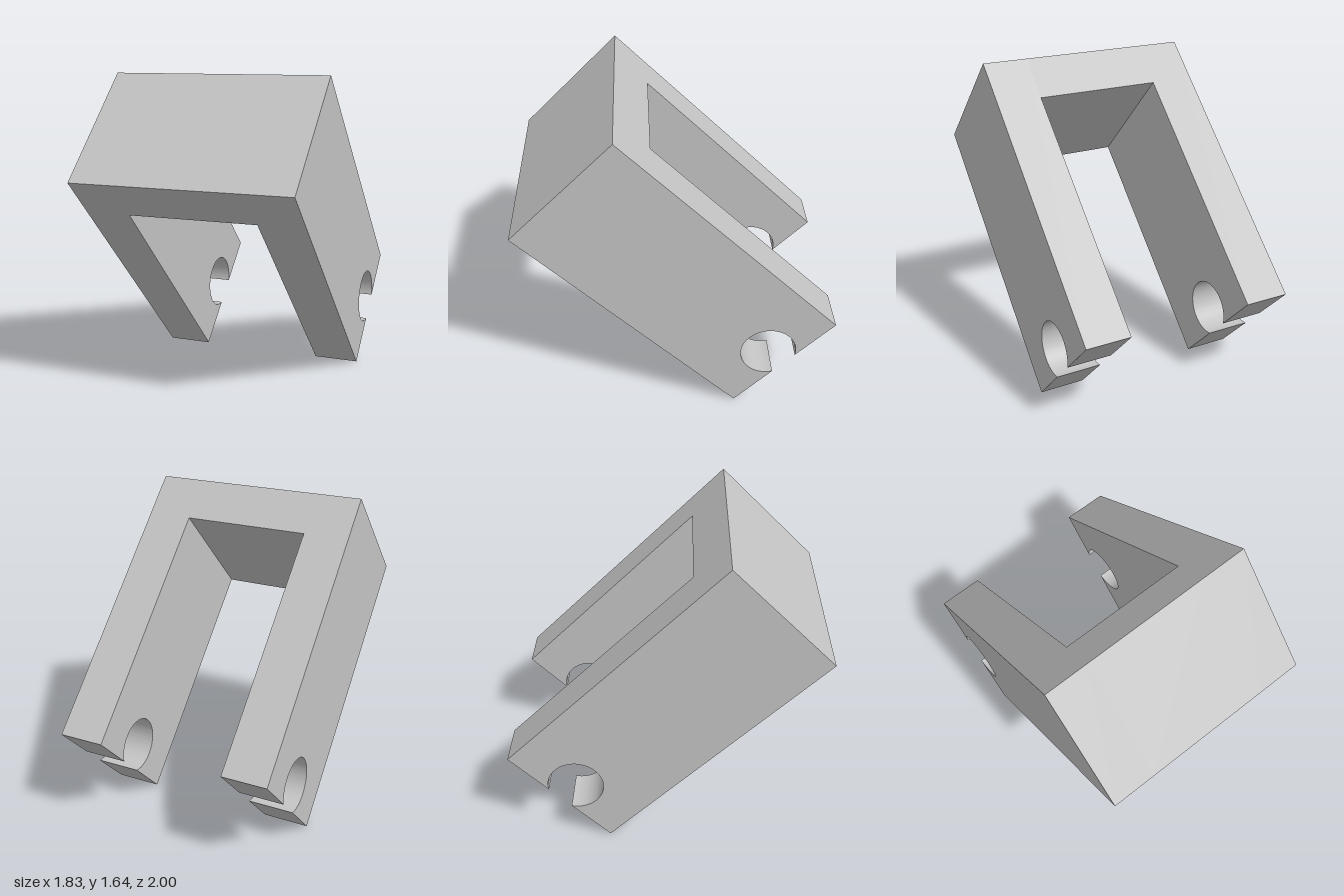
import * as THREE from 'three';
import { toCreasedNormals } from 'three/addons/utils/BufferGeometryUtils.js';

// Clevis bracket: two notched legs joined by a crossbar, tilted in space
const T = 0.2434;          // wall thickness
const W = 4.8 * T;         // overall width
const D = 3 * T;           // depth
const H = 6.5 * T;         // leg length
const R = 0.6 * T;         // pin socket radius
const RISE = 0.5 * T;      // socket centre above the leg end

// Leg side profile with a round socket breaking out through its end
function legGeometry() {
  const half = Math.sqrt(R * R - RISE * RISE);
  const s = new THREE.Shape();
  s.moveTo(D / 2, -H / 2);
  s.lineTo(D / 2, H / 2);
  s.lineTo(-D / 2, H / 2);
  s.lineTo(-D / 2, -H / 2);
  s.absarc(0, -H / 2 + RISE, R, Math.atan2(-RISE, -half), Math.atan2(-RISE, half), true);
  const g = new THREE.ExtrudeGeometry(s, { depth: T, bevelEnabled: false, curveSegments: 48 });
  g.translate(0, 0, -T / 2);
  g.rotateY(Math.PI / 2);
  return toCreasedNormals(g, 0.6);
}

export function createModel() {
  const grey = new THREE.MeshStandardMaterial({ color: 0xc4c4c4 });
  grey.name = 'light grey';

  const bracket = new THREE.Group();
  bracket.name = 'bracket';

  // Legs
  const leg = legGeometry();
  for (const side of [-1, 1]) {
    const m = new THREE.Mesh(leg, grey);
    m.name = side > 0 ? 'leftLeg' : 'rightLeg';
    m.position.x = side * (W - T) / 2;
    bracket.add(m);
  }

  // Crossbar between the legs
  const bar = new THREE.Mesh(new THREE.BoxGeometry(W - 2 * T, T, D), grey);
  bar.name = 'crossbar';
  bar.position.y = (H - T) / 2;
  bracket.add(bar);

  // Lean forward 45 degrees, turned 30 degrees, lowest edge on the ground
  bracket.rotation.set(Math.PI / 4, Math.PI / 6, 0, 'YXZ');
  bracket.position.y = (H + D) * Math.SQRT1_2 / 2;

  const model = new THREE.Group();
  model.name = 'model';
  model.add(bracket);
  return model;
}
